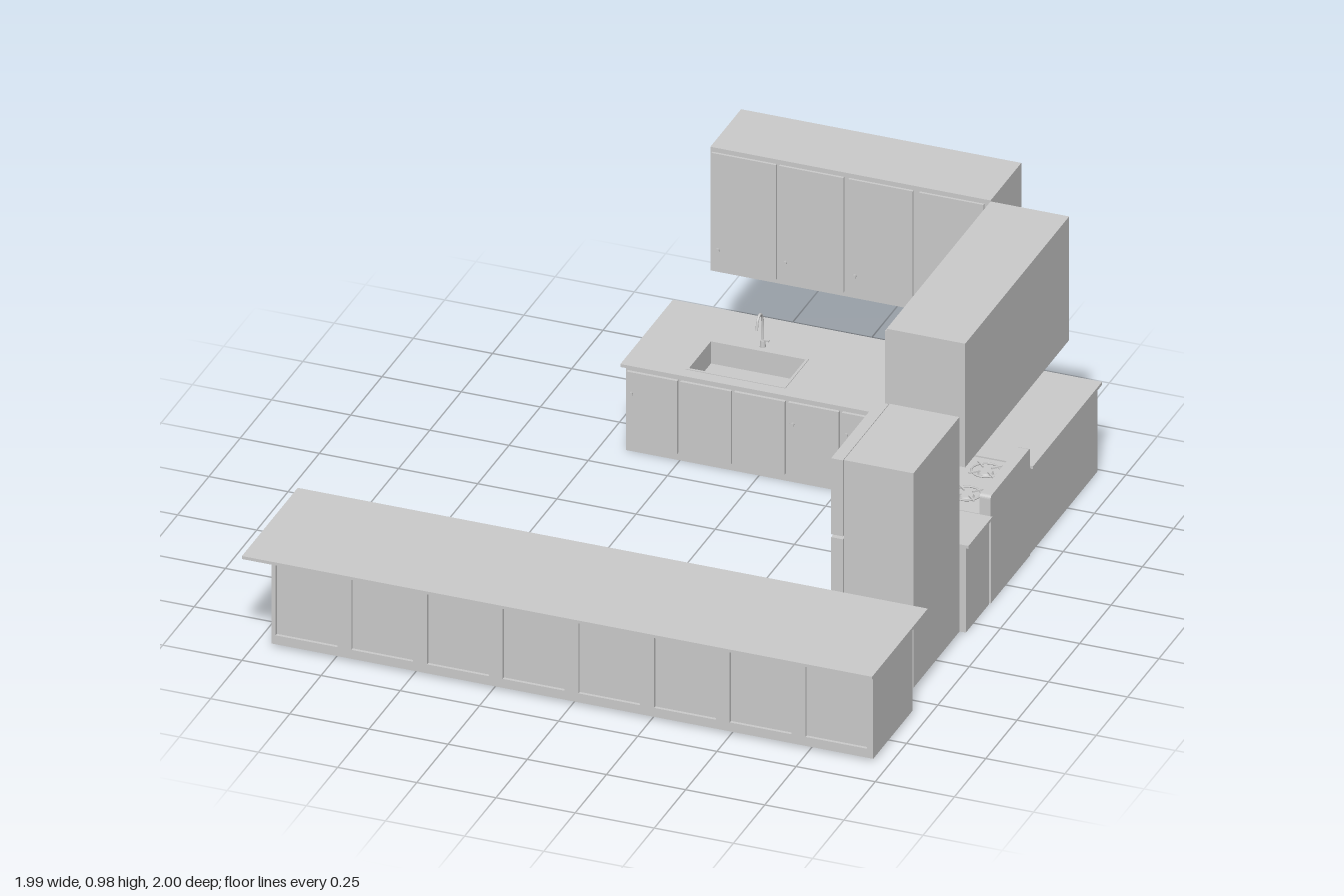
import * as THREE from 'three';

const mat = new THREE.MeshStandardMaterial({ color: 0xcccccc, side: THREE.DoubleSide });

export function createModel() {
  const root = new THREE.Group();
  let group = root;

  const begin = (name) => {
    group = new THREE.Group();
    group.name = name;
    root.add(group);
  };
  const add = (name, geo, x = 0, y = 0, z = 0) => {
    const m = new THREE.Mesh(geo, mat);
    m.name = name;
    m.position.set(x, y, z);
    group.add(m);
    return m;
  };
  // Box given by its limits on each axis
  const box = (name, x0, x1, y0, y1, z0, z1) =>
    add(name, new THREE.BoxGeometry(x1 - x0, y1 - y0, z1 - z0),
      (x0 + x1) / 2, (y0 + y1) / 2, (z0 + z1) / 2);
  const rectPath = (P, x0, x1, y0, y1) => new P().moveTo(x0, y0).lineTo(x1, y0)
    .lineTo(x1, y1).lineTo(x0, y1).closePath();
  // Round knob: a small cylinder along x or z
  const knob = (axis, x, y, z, r = 0.008) => {
    const g = new THREE.CylinderGeometry(r, r * 0.7, 0.012, 16);
    if (axis === 'x') g.rotateZ(Math.PI / 2); else g.rotateX(Math.PI / 2);
    return add('knob', g, x, y, z);
  };

  // ---- Island: body, framed front with recessed panels, doors on the rear
  begin('island');
  box('islandBody', -0.95, 0.95, 0.01, 0.34, 0.575, 0.88);
  box('islandTop', -1, 0.99, 0.34, 0.35, 0.555, 1);
  const frame = rectPath(THREE.Shape, -0.95, 0.95, 0.01, 0.34);
  for (let i = 0; i < 8; i++) {
    const x = -0.937 + i * 0.239;
    frame.holes.push(rectPath(THREE.Path, x, x + 0.195, 0.04, 0.308));
    if (i < 5) {
      box('islandDoor', x, x + 0.195, 0.04, 0.308, 0.563, 0.575);
      knob('z', x + 0.18, 0.18, 0.557);
    }
  }
  add('islandFrontFrame',
    new THREE.ExtrudeGeometry(frame, { depth: 0.01, bevelEnabled: false }), 0, 0, 0.88);

  // ---- L-shaped base cabinets with a sink cut-out
  begin('baseCabinets');
  const hole = { x0: -0.24, x1: 0.075, z0: -0.81, z1: -0.62 };
  const ell = (name, x0, x1, xLeg, z0, z1, zLeg, y0, y1, cut) => {
    const s = new THREE.Shape().moveTo(x0, -z0).lineTo(x0, -z1).lineTo(xLeg, -z1)
      .lineTo(xLeg, -zLeg).lineTo(x1, -zLeg).lineTo(x1, -z0).closePath();
    if (cut) s.holes.push(rectPath(THREE.Path, hole.x0, hole.x1, -hole.z1, -hole.z0));
    const g = new THREE.ExtrudeGeometry(s, { depth: y1 - y0, bevelEnabled: false });
    add(name, g.rotateX(-Math.PI / 2), 0, y0, 0);
  };
  ell('baseLower', -0.42, 0.915, 0.63, -0.99, -0.6, -0.45, 0, 0.225, false);
  ell('baseUpper', -0.42, 0.915, 0.63, -0.99, -0.6, -0.45, 0.225, 0.287, true);
  ell('countertop', -0.43, 0.925, 0.61, -1, -0.58, -0.45, 0.287, 0.297, true);
  for (let i = 0; i < 6; i++) {
    const x = -0.415 + i * 0.17;
    box('baseDoor', x, x + 0.16, 0.025, 0.27, -0.6, -0.59);
    if (i === 0 || i > 2) knob('z', x + 0.015, 0.2, -0.584);
  }
  box('cornerDoor', 0.62, 0.63, 0.025, 0.27, -0.58, -0.46);

  // ---- Sink rim, drain and tap
  begin('sink');
  const rim = rectPath(THREE.Shape, hole.x0, hole.x1, -hole.z1, -hole.z0);
  rim.holes.push(rectPath(THREE.Path, hole.x0 + 0.008, hole.x1 - 0.008, -hole.z1 + 0.008, -hole.z0 - 0.008));
  add('sinkBasinWall', new THREE.ExtrudeGeometry(rim, { depth: 0.074, bevelEnabled: false })
    .rotateX(-Math.PI / 2), 0, 0.225, 0);
  add('drain', new THREE.CylinderGeometry(0.01, 0.01, 0.004, 20), -0.08, 0.227, -0.72);
  add('tapBase', new THREE.CylinderGeometry(0.008, 0.009, 0.022, 16), -0.08, 0.308, -0.832);
  const tap = new THREE.CatmullRomCurve3([
    [0.3, -0.832], [0.37, -0.832], [0.405, -0.824], [0.417, -0.808],
    [0.408, -0.793], [0.375, -0.783],
  ].map(([y, z]) => new THREE.Vector3(-0.08, y, z)));
  add('tapSpout', new THREE.TubeGeometry(tap, 32, 0.004, 10));
  box('tapLever', -0.083, -0.06, 0.317, 0.322, -0.835, -0.829);

  // ---- Stove: oven front, hob with four burners, rear panel
  begin('stove');
  box('stoveBody', 0.63, 0.918, 0, 0.29, -0.443, -0.13);
  box('hob', 0.615, 0.918, 0.28, 0.295, -0.445, -0.128);
  box('ovenDoor', 0.618, 0.63, 0.07, 0.235, -0.435, -0.138);
  box('ovenDrawer', 0.618, 0.63, 0.01, 0.06, -0.435, -0.138);
  box('ovenWindow', 0.615, 0.618, 0.09, 0.19, -0.39, -0.183);
  box('ovenHandle', 0.602, 0.608, 0.212, 0.219, -0.41, -0.163);
  for (const z of [-0.4, -0.173]) box('handlePost', 0.606, 0.62, 0.212, 0.219, z - 0.004, z + 0.004);
  for (let i = 0; i < 5; i++) knob('x', 0.609, 0.26, -0.41 + i * 0.0615, 0.009);
  // Rear panel with rounded upper corners
  const w = 0.158, r = 0.012;
  const panel = new THREE.Shape().moveTo(-w, 0).lineTo(w, 0).lineTo(w, 0.068 - r)
    .quadraticCurveTo(w, 0.068, w - r, 0.068).lineTo(-w + r, 0.068)
    .quadraticCurveTo(-w, 0.068, -w, 0.068 - r).closePath();
  add('stoveRearPanel', new THREE.ExtrudeGeometry(panel, { depth: 0.035, bevelEnabled: false })
    .rotateY(Math.PI / 2), 0.883, 0.292, -0.286);
  for (const x of [0.685, 0.81]) for (const z of [-0.362, -0.21]) {
    add('burner', new THREE.CylinderGeometry(0.02, 0.024, 0.008, 20), x, 0.299, z);
    add('grateRing', new THREE.TorusGeometry(0.042, 0.003, 6, 24).rotateX(Math.PI / 2), x, 0.306, z);
    for (let k = 0; k < 4; k++) {
      const a = Math.PI / 4 + k * Math.PI / 2;
      const bar = add('grateBar', new THREE.BoxGeometry(0.036, 0.005, 0.005),
        x + Math.cos(a) * 0.036, 0.308, z - Math.sin(a) * 0.036);
      bar.rotation.y = a;
    }
  }

  // ---- Narrow base cabinet beside the stove
  begin('sideCabinet');
  box('sideCabinetBody', 0.63, 0.915, 0, 0.285, -0.122, 0.062);
  box('sideCabinetTop', 0.61, 0.925, 0.285, 0.295, -0.125, 0.066);
  box('sideDoor', 0.618, 0.63, 0.025, 0.2, -0.112, 0.052);
  box('sideDrawer', 0.618, 0.63, 0.21, 0.273, -0.112, 0.052);
  knob('x', 0.612, 0.175, -0.1);
  knob('x', 0.612, 0.242, -0.03);

  // ---- Refrigerator with two doors and bar handles
  begin('refrigerator');
  box('fridgeBody', 0.685, 0.905, 0.015, 0.735, 0.088, 0.455);
  for (const [y0, y1, h0, h1] of [[0.02, 0.468, 0.36, 0.45], [0.478, 0.733, 0.49, 0.65]]) {
    box('fridgeDoor', 0.645, 0.682, y0, y1, 0.088, 0.455);
    box('fridgeHandle', 0.628, 0.635, h0, h1, 0.1, 0.112);
    for (const y of [h0 + 0.005, h1 - 0.005]) box('handlePost', 0.63, 0.647, y - 0.005, y + 0.005, 0.1, 0.112);
  }

  // ---- Wall cabinets along the back
  begin('backWallCabinets');
  box('wallCabinetBody', -0.215, 0.67, 0.565, 0.98, -1, -0.755);
  for (const x of [-0.208, 0.005, 0.224, 0.447]) {
    box('wallDoor', x, x + 0.203, 0.58, 0.965, -0.755, -0.747);
    knob('z', x + 0.02, 0.645, -0.741);
  }

  // ---- Wall cabinets along the side, with a shorter door above the hood
  begin('sideWallCabinets');
  box('wallCabinetBody', 0.672, 0.92, 0.565, 0.98, -0.75, 0.08);
  for (const [z0, z1, y0] of [[-0.735, -0.595, 0.58], [-0.585, -0.45, 0.58],
    [-0.438, -0.293, 0.7], [-0.283, -0.135, 0.7], [-0.122, 0.068, 0.58]]) {
    box('wallDoor', 0.662, 0.672, y0, 0.965, z0, z1);
    knob('x', 0.657, y0 + 0.066, z0 + 0.018);
  }
  box('hood', 0.68, 0.9, 0.56, 0.566, -0.425, -0.15);

  return root;
}
